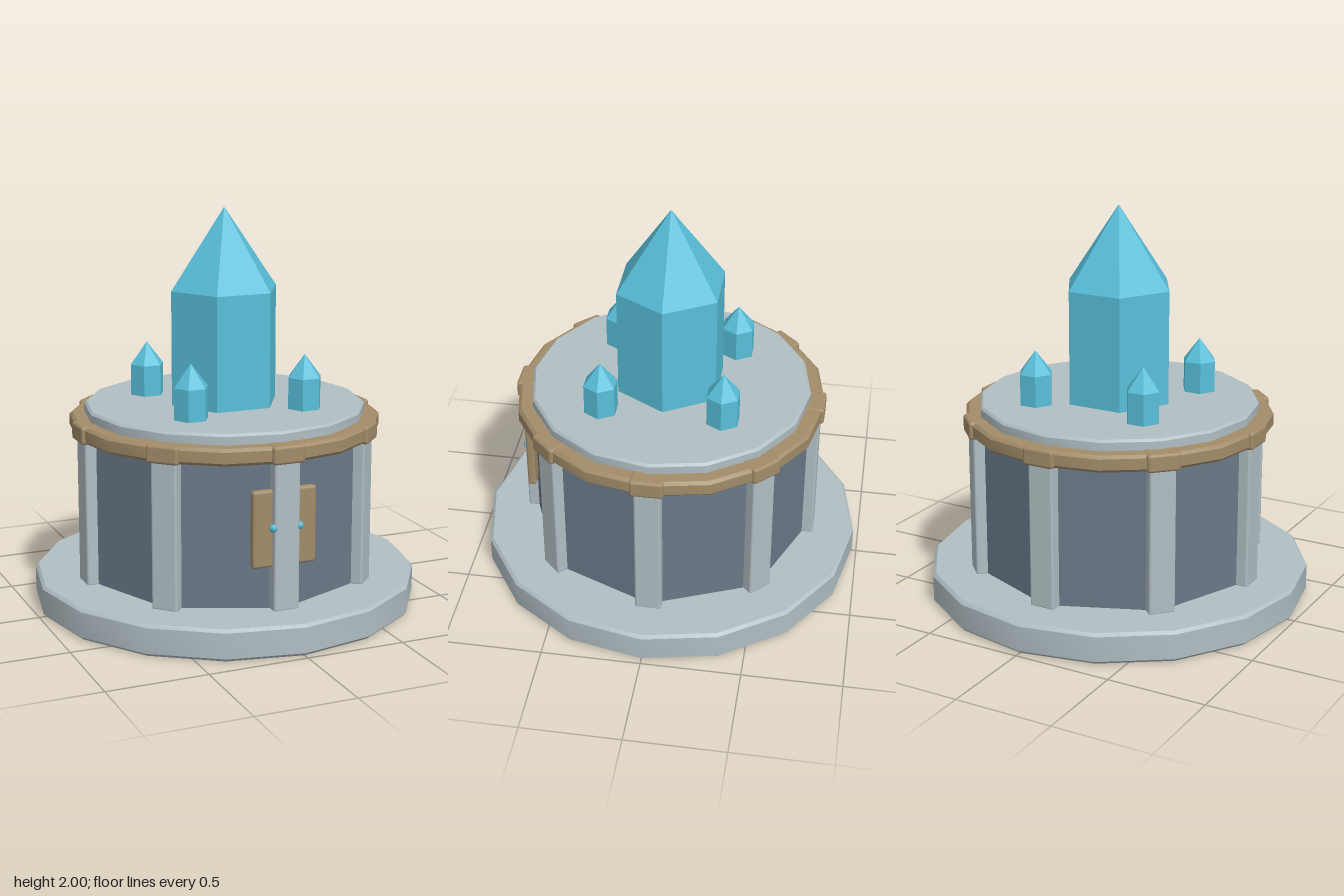
import * as THREE from 'three';
import { toCreasedNormals } from 'three/addons/utils/BufferGeometryUtils.js';
import { RoundedBoxGeometry } from 'three/addons/geometries/RoundedBoxGeometry.js';

const material = (name, color) => {
  const m = new THREE.MeshStandardMaterial({ color });
  m.name = name;
  return m;
};

export function createModel() {
  const stone = material('pale stone', 0xb0bec3);
  const wall = material('slate wall', 0x6a7a88);
  const wood = material('bronze trim', 0xa28c69);
  const crystal = material('blue crystal', 0x58bfd9);

  const model = new THREE.Group();
  model.name = 'crystalShrine';

  const add = (name, geometry, mat, x = 0, y = 0, z = 0, parent = model) => {
    const mesh = new THREE.Mesh(geometry, mat);
    mesh.name = name;
    mesh.position.set(x, y, z);
    parent.add(mesh);
    return mesh;
  };

  // Sixteen-sided slab with a chamfered rim
  const slab = (r, y0, y1, c) => toCreasedNormals(new THREE.LatheGeometry([
    [0, y0], [r - c, y0], [r, y0 + c], [r, y1 - c], [r - c, y1], [0, y1],
  ].map(([x, y]) => new THREE.Vector2(x, y)), 16), 0.5);

  add('base', slab(0.977, 0, 0.157, 0.015), stone);
  add('trimRing', slab(0.785, 0.883, 0.967, 0.015), wood);
  add('roof', slab(0.71, 0.95, 1.02, 0.012), stone);

  // Octagonal wall with its corners behind the pillars
  const body = new THREE.CylinderGeometry(0.735, 0.735, 0.76, 8).toNonIndexed();
  body.computeVertexNormals();
  add('wall', body, wall, 0, 0.525, 0);

  // Eight pillars, each capped by a trim block
  for (let i = 0; i < 8; i++) {
    const bay = new THREE.Group();
    bay.name = 'pillarBay';
    bay.rotation.y = i * Math.PI / 4;
    model.add(bay);
    add('pillar', new RoundedBoxGeometry(0.132, 0.76, 0.13, 2, 0.012), stone, 0, 0.53, 0.7, bay);
    add('trimBlock', new RoundedBoxGeometry(0.165, 0.09, 0.13, 2, 0.015), wood, 0, 0.925, 0.721, bay);
  }

  // Double door with crystal knobs
  for (const side of [-1, 1]) {
    add('doorPanel', new RoundedBoxGeometry(0.155, 0.38, 0.042, 2, 0.014), wood, side * 0.0875, 0.56, 0.716);
    add('doorKnob', new THREE.SphereGeometry(0.02, 8, 6), crystal, side * 0.068, 0.568, 0.752);
  }

  // Six-sided crystal: prism below, point above
  const makeCrystal = (name, r, shoulder, tip, x, z) => {
    const profile = [[r, 1.0], [r, shoulder], [0, tip]].map(([a, b]) => new THREE.Vector2(a, b));
    const g = new THREE.LatheGeometry(profile, 6, Math.PI / 6).toNonIndexed();
    g.computeVertexNormals();
    add(name, g, crystal, x, 0, z);
  };
  makeCrystal('mainCrystal', 0.284, 1.595, 2, 0, 0);
  for (const x of [-0.303, 0.303])
    for (const z of [-0.303, 0.303]) makeCrystal('smallCrystal', 0.088, 1.178, 1.292, x, z);

  return model;
}
